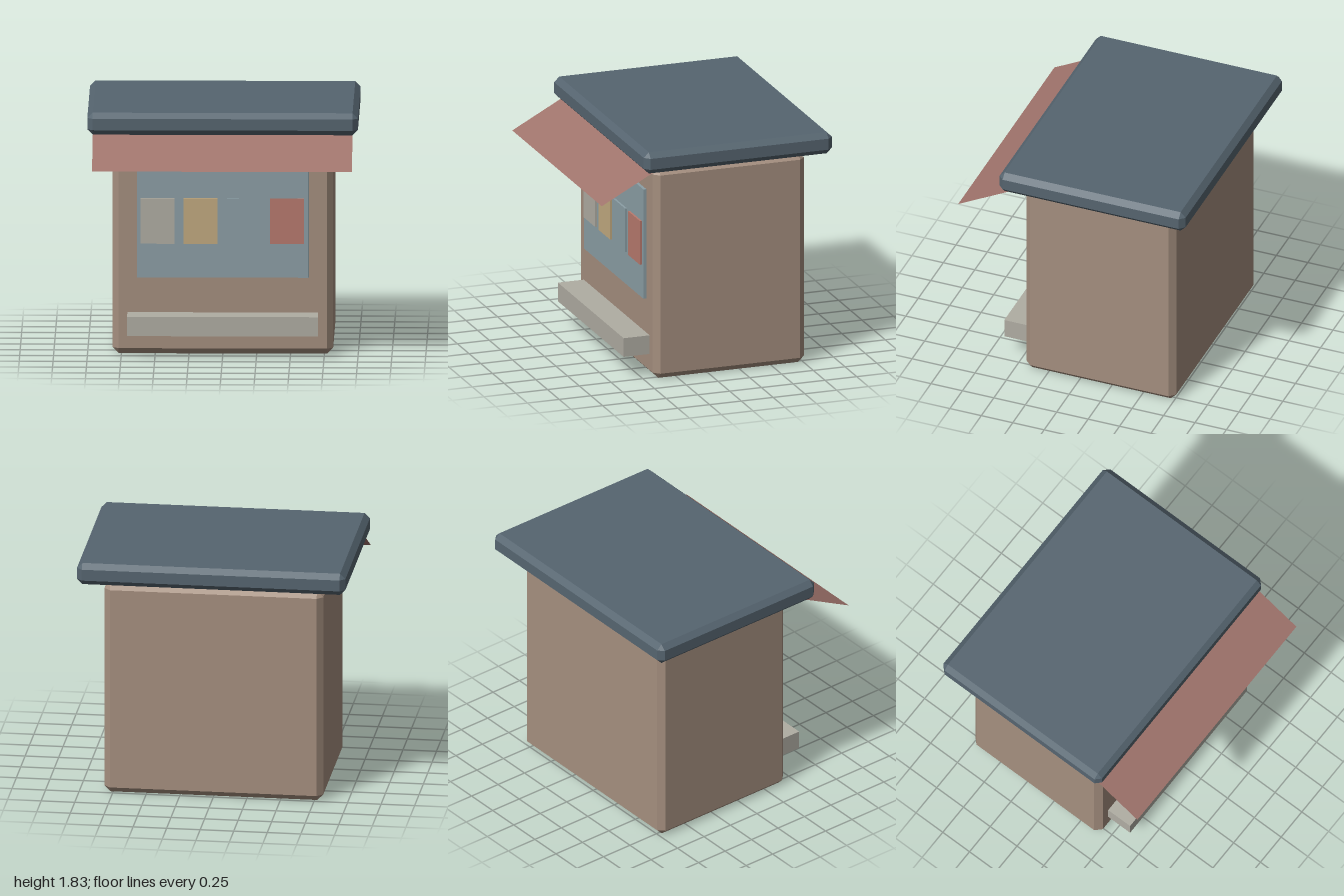
import * as THREE from 'three';
import { ConvexGeometry } from 'three/addons/geometries/ConvexGeometry.js';

const mat = (name, color, side = THREE.FrontSide) => {
  const m = new THREE.MeshStandardMaterial({ color, side });
  m.name = name;
  return m;
};

// Box with every edge and corner cut off by c
function chamferBox(w, h, d, c) {
  const pts = [];
  for (const x of [-1, 1]) for (const y of [-1, 1]) for (const z of [-1, 1]) {
    for (let axis = 0; axis < 3; axis++) {
      const p = [w / 2 - c, h / 2 - c, d / 2 - c];
      p[axis] += c;
      pts.push(new THREE.Vector3(x * p[0], y * p[1], z * p[2]));
    }
  }
  return new ConvexGeometry(pts);
}

export function createModel() {
  const group = new THREE.Group();
  group.name = 'kiosk';

  const wall = mat('wall brown', 0xa58f7f);
  const slate = mat('roof slate', 0x566570);
  const cloth = mat('awning rose', 0xa0746c, THREE.DoubleSide);
  const glass = mat('window blue', 0x8c9fa6);
  const grey = mat('shelf grey', 0xb0ada3);
  const yellow = mat('poster yellow', 0xc2aa80);
  const red = mat('poster red', 0xb87a6e);

  const add = (name, geometry, material, x, y, z) => {
    const mesh = new THREE.Mesh(geometry, material);
    mesh.name = name;
    mesh.position.set(x, y, z);
    group.add(mesh);
    return mesh;
  };

  // Body and overhanging roof, with a small gap between them
  add('body', chamferBox(1.63, 1.63, 1.19, 0.045), wall, 0, 0.815, -0.165);
  add('roof', chamferBox(2, 0.165, 1.48, 0.04), slate, 0, 1.745, -0.17);

  // Sloping awning sheet, its upper edge tucked into the roof
  const top = [0.43, 1.7], low = [0.9, 1.45];
  const dz = low[0] - top[0], dy = top[1] - low[1];
  const awning = add('awning', new THREE.PlaneGeometry(1.92, Math.hypot(dz, dy)), cloth,
    0, (top[1] + low[1]) / 2, (top[0] + low[0]) / 2);
  awning.rotation.x = -Math.atan2(dz, dy);

  // Serving window with a row of panels on it
  add('window', new THREE.BoxGeometry(1.27, 0.85, 0.045), glass, 0, 1.005, 0.43);
  [grey, yellow, glass, red].forEach((m, i) => {
    add(`poster${i + 1}`, new THREE.BoxGeometry(0.25, 0.34, 0.03), m, -0.483 + i * 0.319, 1.005, 0.453);
  });

  // Front shelf
  add('shelf', new THREE.BoxGeometry(1.41, 0.145, 0.225), grey, 0, 0.243, 0.522);

  return group;
}
